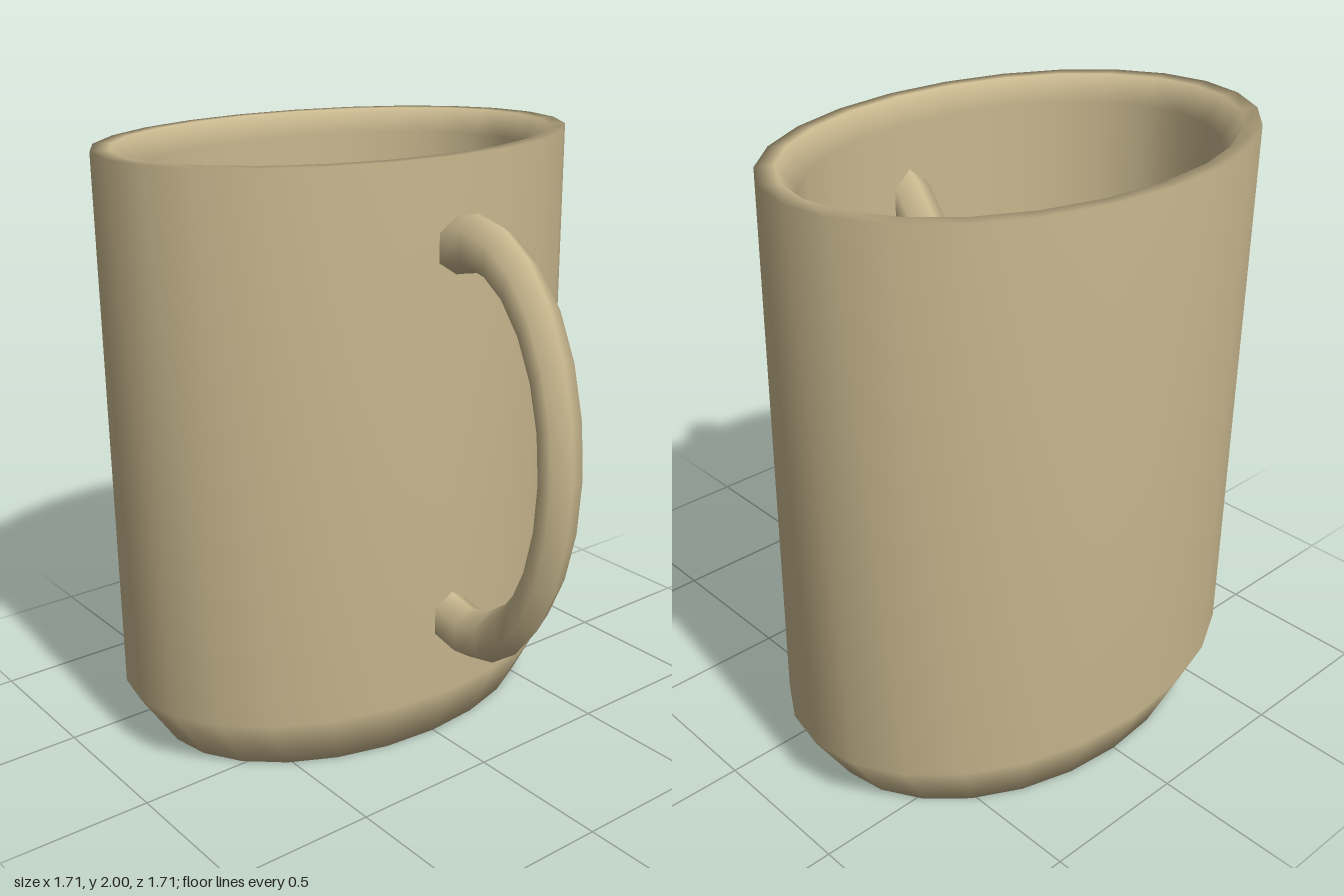
import * as THREE from 'three';
import { mergeVertices } from 'three/addons/utils/BufferGeometryUtils.js';

// Weld all seams so the shading runs smoothly over the whole surface
function weld(geometry) {
  geometry.deleteAttribute('uv');
  geometry.deleteAttribute('normal');
  const welded = mergeVertices(geometry, 1e-4);
  welded.computeVertexNormals();
  return welded;
}

export function createModel() {
  const group = new THREE.Group();
  group.name = 'mug';
  const clay = new THREE.MeshStandardMaterial({ color: 0xc8b78e });
  clay.name = 'tan clay';

  // Oval body: closed wall profile with a chamfered foot and a small drain hole
  const profile = [
    [0.05, 0], [0.85, 0], [1, 0.2], [1, 2],
    [0.925, 2], [0.85, 1.92], [0.85, 0.22], [0.74, 0.1],
    [0.05, 0.1], [0.05, 0],
  ].map(([r, y]) => new THREE.Vector2(r, y));
  const bodyGeometry = new THREE.LatheGeometry(profile, 24);
  bodyGeometry.scale(0.59, 1, 0.855);
  const body = new THREE.Mesh(weld(bodyGeometry), clay);
  body.name = 'body';
  body.position.x = -0.265;

  // Handle: a full squeezed ring whose inner half passes through the wall
  const handleGeometry = new THREE.TorusGeometry(0.648, 0.09, 6, 24);
  handleGeometry.scale(0.59, 1, 0.855);
  const handle = new THREE.Mesh(weld(handleGeometry), clay);
  handle.name = 'handle';
  handle.position.set(0.415, 1.102, 0);

  group.add(body, handle);
  return group;
}
